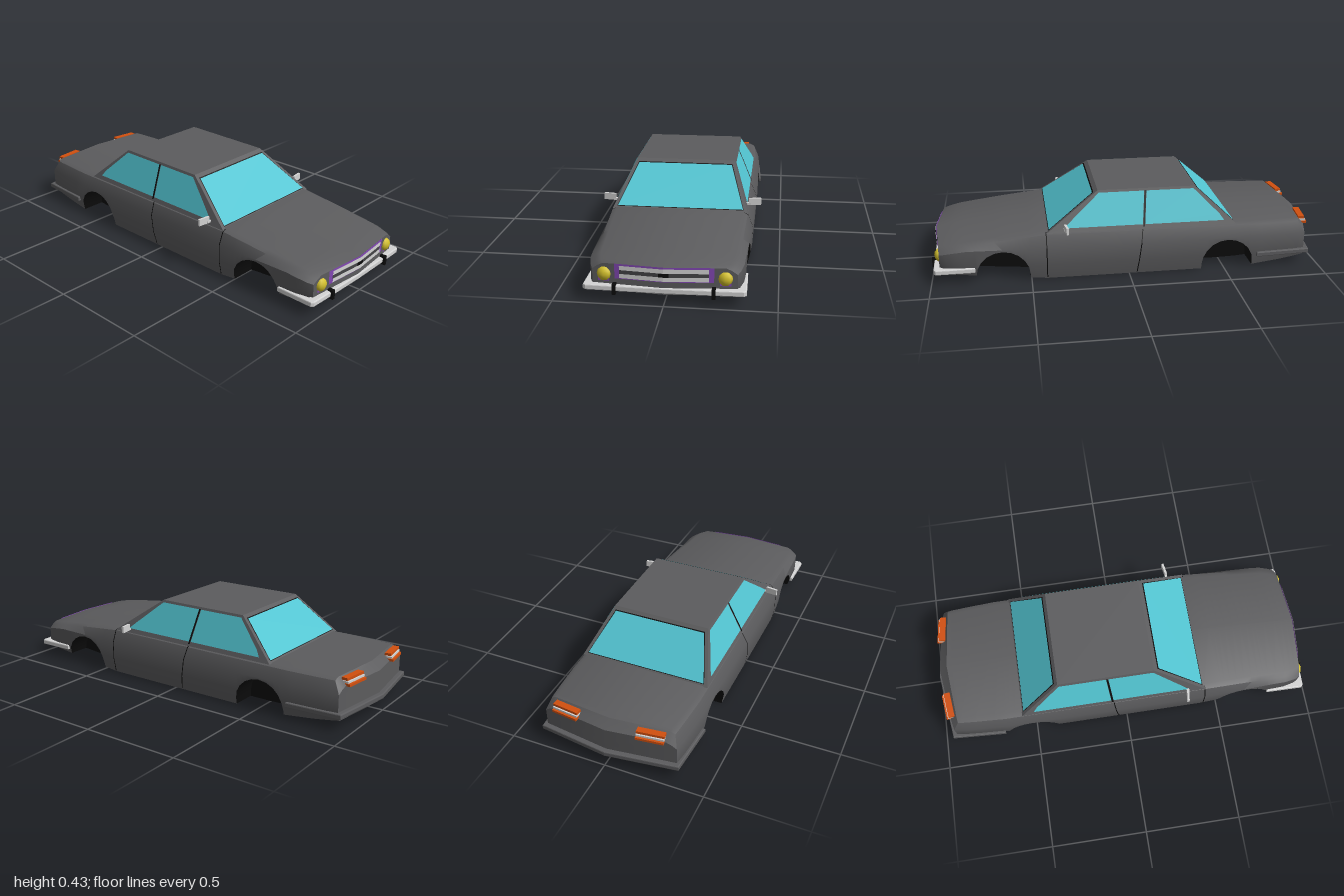
import * as THREE from 'three';
import { toCreasedNormals } from 'three/addons/utils/BufferGeometryUtils.js';

const material = (name, color, side = THREE.FrontSide) => {
  const m = new THREE.MeshStandardMaterial({ color, side });
  m.name = name;
  return m;
};

// Piecewise linear lookup in a table of [key, value]
function lookup(t, table) {
  if (t <= table[0][0]) return table[0][1];
  for (let i = 1; i < table.length; i++) {
    const [a, va] = table[i - 1], [b, vb] = table[i];
    if (t <= b) return b === a ? vb : va + (vb - va) * (t - a) / (b - a);
  }
  return table[table.length - 1][1];
}

// Body outline along the car
const halfWidth = z => lookup(z, [[-0.975, 0.34], [-0.9, 0.348], [-0.65, 0.362], [0.4, 0.364], [0.88, 0.347], [0.95, 0.335], [0.985, 0.322]]);
const topY = z => lookup(z, [[-0.975, 0.2], [-0.93, 0.24], [0.42, 0.245], [0.65, 0.222], [0.9, 0.192], [0.985, 0.178]]);
const floorY = z => lookup(z, [[-0.975, 0.04], [-0.6, 0.003], [-0.5, 0], [0.42, 0], [0.985, 0.05]]);
const bow = z => lookup(z, [[-0.975, 0.13], [-0.8, 0], [0.85, 0], [0.985, -0.09]]);

// Side profile as [y, x] rows
function profile(z) {
  const w = halfWidth(z), t = topY(z);
  return [[floorY(z), w - 0.016], [0.08, w], [Math.min(0.17, t - 0.03), w], [t - 0.012, w - 0.025], [t, w - 0.05]];
}
const sideX = (z, y) => lookup(y, profile(z));

// Half section from floor centre, through the wheel well, up to the top centre
function section(z, archY) {
  const f = floorY(z), low = Math.max(f, archY), rows = profile(z);
  const pts = [[0, f], [0.22, f], [0.22, low], [sideX(z, low), low]];
  rows.slice(1).forEach(([y]) => pts.push([sideX(z, Math.max(y, low)), Math.max(y, low)]));
  pts.push([0, topY(z)]);
  return pts.map(([x, y]) => new THREE.Vector3(x, y, z + bow(z) * x));
}

function stations() {
  const list = [];
  const arch = zc => {
    const n = 10;
    list.push([zc - 0.135, 0]);
    for (let i = 0; i <= n; i++) {
      const a = Math.PI * (1 - i / n);
      list.push([zc + 0.135 * Math.cos(a), 0.03 + 0.13 * Math.sin(a)]);
    }
    list.push([zc + 0.135, 0]);
  };
  [-0.975, -0.93, -0.9, -0.8, -0.7].forEach(z => list.push([z, 0]));
  arch(-0.515);
  [-0.2, 0.1, 0.42].forEach(z => list.push([z, 0]));
  arch(0.64);
  [0.82, 0.88, 0.92, 0.95, 0.985].forEach(z => list.push([z, 0]));
  return list.map(([z, a]) => section(z, a));
}

function geometryFrom(tris) {
  const g = new THREE.BufferGeometry();
  g.setAttribute('position', new THREE.Float32BufferAttribute(tris.flatMap(p => [p.x, p.y, p.z]), 3));
  g.computeVertexNormals();
  return g;
}

const flip = p => new THREE.Vector3(-p.x, p.y, p.z);

// Loft columns first..last of the sections, mirrored in x
function loft(secs, first, last, caps) {
  const out = [];
  const tri = (a, b, c) => out.push(a, b, c, flip(a), flip(c), flip(b));
  for (let j = 0; j < secs.length - 1; j++)
    for (let i = first; i < last; i++) {
      const [a, b, c, d] = [secs[j][i], secs[j][i + 1], secs[j + 1][i + 1], secs[j + 1][i]];
      tri(a, b, c);
      tri(a, c, d);
    }
  if (caps) [secs[0], secs[secs.length - 1]].forEach((s, end) => {
    const mid = new THREE.Vector3(0, (s[0].y + s[s.length - 1].y) / 2, s[0].z);
    for (let i = 0; i < s.length - 1; i++) end ? tri(mid, s[i], s[i + 1]) : tri(mid, s[i + 1], s[i]);
  });
  return toCreasedNormals(geometryFrom(out), 0.55);
}

// Flat polygon as a fan
function plate(points) {
  const p = points.map(a => new THREE.Vector3(...a)), out = [];
  for (let i = 1; i < p.length - 1; i++) out.push(p[0], p[i], p[i + 1]);
  return geometryFrom(out);
}

// Wraparound bumper from half plan outlines [x, z], ordered from end to centre
function bumperGeometry(outer, inner, height) {
  const m = pts => pts.map(([x, z]) => [-x, z]);
  const ring = [...outer, ...m(outer).reverse(), ...m(inner), ...[...inner].reverse()];
  const shape = new THREE.Shape(ring.map(([x, z]) => new THREE.Vector2(x, -z)));
  const g = new THREE.ExtrudeGeometry(shape, { depth: height - 0.01, bevelThickness: 0.005, bevelSize: 0.005, bevelOffset: -0.005, bevelSegments: 2 });
  return g.translate(0, 0, 0.005).rotateX(-Math.PI / 2);
}

export function createModel() {
  const car = new THREE.Group();
  car.name = 'car';
  const paint = material('body grey', 0x5c5c5e);
  const black = material('black', 0x0b0b0b, THREE.DoubleSide);
  const glass = material('cyan glass', 0x52c4d1, THREE.DoubleSide);
  const chrome = material('light grey', 0xd4d4d4, THREE.DoubleSide);
  const orange = material('orange', 0xd2500f);
  const yellow = material('yellow', 0xd3c02c);
  const purple = material('purple', 0x8348b4, THREE.DoubleSide);
  const dark = material('dark grey', 0x444446, THREE.DoubleSide);
  const add = (name, geometry, mat, x = 0, y = 0, z = 0) => {
    const mesh = new THREE.Mesh(geometry, mat);
    mesh.name = name;
    mesh.position.set(x, y, z);
    car.add(mesh);
    return mesh;
  };

  // Lower body and black underside with wheel wells
  const secs = stations();
  add('bodyShell', loft(secs, 3, 8, true), paint);
  add('underside', loft(secs, 0, 3, false), black);

  // Cabin: tapered block
  const base = { x: 0.338, y: 0.238, f: 0.42, r: -0.56 }, roof = { x: 0.255, y: 0.428, f: 0.15, r: -0.35 };
  const corners = c => [[c.x, c.y, c.f], [c.x, c.y, c.r], [-c.x, c.y, c.r], [-c.x, c.y, c.f]];
  const b = corners(base), t = corners(roof);
  add('roof', plate(t), paint);
  for (let i = 0; i < 4; i++) {
    const k = (i + 1) % 4;
    add('cabinWall', plate([b[i], b[k], t[k], t[i]]), paint);
  }
  const along = (key, y) => base[key] + (roof[key] - base[key]) * (y - base.y) / (roof.y - base.y);

  // Windscreen and rear window, with thin dark seals
  const endWindow = (name, key, s, grow, off, mat) => {
    const lo = 0.251 - grow, hi = 0.412 + grow;
    const row = (y, w) => [[-w - grow, y, along(key, y) + s * off], [w + grow, y, along(key, y) + s * off]];
    const [p, q] = row(lo, 0.314), [u, v] = row(hi, 0.241);
    add(name, plate([p, q, v, u]), mat);
  };
  [['windscreen', 'f', 1], ['rearWindow', 'r', -1]].forEach(([n, k, s]) => {
    endWindow(n + 'Seal', k, s, 0.003, 0.002, black);
    endWindow(n, k, s, 0, 0.004, glass);
  });

  for (const s of [1, -1]) {
    // Side windows and the pillar line between them
    const pane = (name, zy, off, mat) => add(name, plate(zy.map(([z, y]) => [s * (along('x', y) + off), y, z])), mat);
    pane('frontSideWindow', [[0.33, 0.26], [0.29, 0.295], [0.145, 0.417], [-0.088, 0.417], [-0.072, 0.26]], 0.003, glass);
    pane('rearSideWindow', [[-0.084, 0.26], [-0.1, 0.417], [-0.345, 0.417], [-0.475, 0.29], [-0.495, 0.26]], 0.003, glass);
    pane('pillarLine', [[-0.072, 0.25], [-0.089, 0.42], [-0.099, 0.42], [-0.082, 0.25]], 0.005, black);

    // Door seams following the body side
    const seam = zAt => {
      const ys = [0.005, 0.08, 0.17, 0.232, 0.242];
      for (let i = 0; i < ys.length - 1; i++) {
        const at = (y, d) => [s * (sideX(zAt(y), y) + 0.0015), y, zAt(y) + d];
        add('doorSeam', plate([at(ys[i], 0.0025), at(ys[i], -0.0025), at(ys[i + 1], -0.0025), at(ys[i + 1], 0.0025)]), black);
      }
    };
    seam(() => 0.42);
    seam(y => -0.04 - 0.13 * y);

    // Door mirrors
    add('mirror', new THREE.BoxGeometry(0.062, 0.034, 0.012), chrome, s * 0.369, 0.268, 0.32).rotation.y = s * 0.15;
    add('mirrorArm', new THREE.BoxGeometry(0.03, 0.01, 0.012), chrome, s * 0.335, 0.257, 0.325);

    // Headlamps
    const lamp = add('headlamp', new THREE.SphereGeometry(0.034, 8, 6), yellow, s * 0.268, 0.128, 0.957);
    lamp.scale.z = 0.75;

    // Grille: plates on each half of the pointed nose
    const strip = (name, x0, x1, y0, y1, off, mat) => {
      const p = (x, y) => [s * x, y, 0.985 - 0.09 * x + off];
      add(name, plate([p(x0, y0), p(x1, y0), p(x1, y1), p(x0, y1)]), mat);
    };
    strip('grilleSurround', 0, 0.22, 0.11, 0.18, 0.003, purple);
    strip('lampTrim', 0.245, 0.295, 0.095, 0.115, 0.002, purple);
    strip('grilleBack', 0, 0.198, 0.13, 0.16, 0.005, dark);
    strip('grilleUpperBar', 0, 0.198, 0.153, 0.173, 0.007, chrome);
    strip('grilleLowerBar', 0, 0.198, 0.115, 0.135, 0.007, chrome);
    strip('grilleCentreBlock', 0, 0.023, 0.135, 0.152, 0.008, black);

    // Bumper guards
    add('bumperGuard', new THREE.BoxGeometry(0.016, 0.048, 0.03), black, s * 0.22, 0.069, 0.985);

    // Tail lamps: two orange bars with a pale strip between
    [['tailLampUpper', 0.231, -0.936, 0.013, orange], ['tailLampStrip', 0.217, -0.941, 0.01, chrome], ['tailLampLower', 0.204, -0.95, 0.012, orange]]
      .forEach(([n, y, z, h, m]) => {
        add(n, new THREE.BoxGeometry(0.135, h, 0.032), m, s * 0.217, y, z).rotation.y = -s * 0.12;
      });
  }

  // Bumpers
  const front = bumperGeometry([[0.36, 0.78], [0.363, 0.975], [0.35, 0.985], [0.2, 0.989], [0, 0.992]], [[0.338, 0.78], [0.33, 0.94], [0.2, 0.955], [0, 0.97]], 0.026);
  add('frontBumper', front, chrome, 0, 0.056, 0);
  const rear = bumperGeometry([[0.374, -0.67], [0.357, -0.953], [0, -1]], [[0.345, -0.67], [0.33, -0.91], [0, -0.96]], 0.026);
  add('rearBumper', rear, paint, 0, 0.058, 0);
  return car;
}
